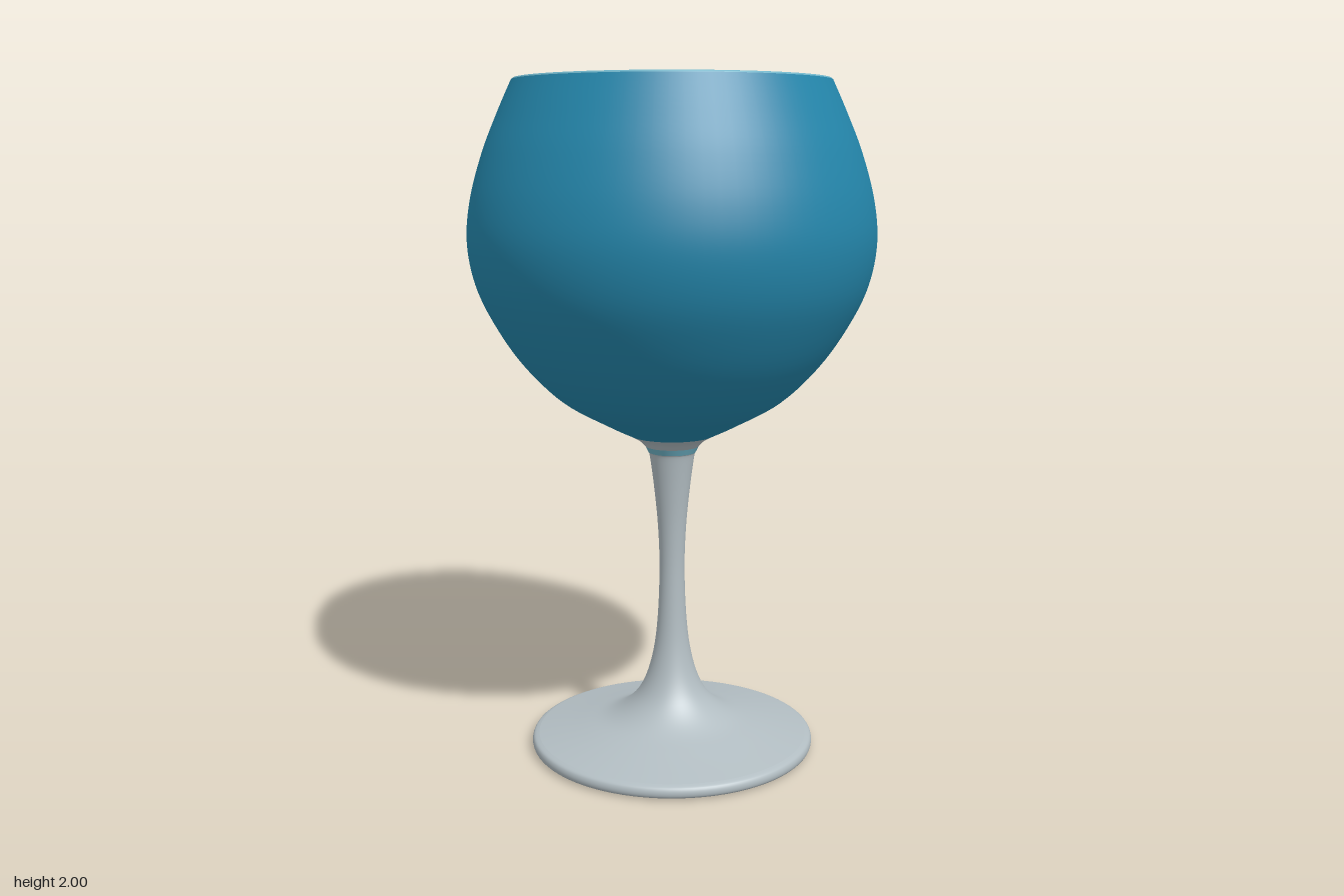
import * as THREE from 'three';

const paint = (name, color) => Object.assign(new THREE.MeshStandardMaterial({ color }), { name });
const v2 = (p) => new THREE.Vector2(p[0], p[1]);

// Smooth profile through a few (radius, height) points
const smooth = (pts, n = 40) => new THREE.SplineCurve(pts.map(v2)).getPoints(n);

export function createModel() {
  const group = new THREE.Group();
  const blue = paint('drink blue', 0x2486ab);
  const paleBlue = paint('pale blue', 0x6eb2c6);
  const grey = paint('clear glass grey', 0xb2bdc2);
  const yellow = paint('amber yellow', 0xc0ae36);

  const add = (name, geometry, material) => {
    const mesh = new THREE.Mesh(geometry, material);
    mesh.name = name;
    group.add(mesh);
    return mesh;
  };
  const turn = (name, pts, material) => add(name, new THREE.LatheGeometry(pts, 80), material);

  // Foot: slightly hollow underside, rounded edge
  turn('footUnderside', [[0, 0.012], [0.3, 0.008], [0.4, 0]].map(v2), grey);
  turn('footEdge', smooth([[0.4, 0], [0.424, 0.006], [0.43, 0.02], [0.425, 0.035], [0.41, 0.042]], 16), grey);
  // Foot top sweeping up into the stem
  turn('stem', smooth([[0.41, 0.042], [0.28, 0.07], [0.19, 0.095], [0.125, 0.14], [0.085, 0.2],
    [0.058, 0.29], [0.044, 0.4], [0.038, 0.55], [0.042, 0.68], [0.053, 0.8], [0.066, 0.9], [0.071, 0.916]], 60), grey);
  turn('stemBand', [[0.071, 0.916], [0.08, 0.934]].map(v2), paleBlue);
  turn('stemCollar', smooth([[0.08, 0.934], [0.098, 0.952], [0.125, 0.968]], 8), grey);

  // Bowl, rim and inner wall
  turn('bowl', smooth([[0.125, 0.968], [0.2, 1.005], [0.33, 1.08], [0.44, 1.19], [0.52, 1.31], [0.57, 1.42],
    [0.591, 1.54], [0.58, 1.66], [0.544, 1.79], [0.5, 1.9], [0.457, 1.995]], 60), blue);
  turn('rim', smooth([[0.457, 1.993], [0.453, 1.999], [0.446, 2], [0.439, 1.998], [0.435, 1.99]], 10), paleBlue);
  turn('innerWall', smooth([[0.435, 1.99], [0.478, 1.9], [0.515, 1.81]], 12), grey);
  turn('wetInnerWall', smooth([[0.515, 1.81], [0.527, 1.78], [0.536, 1.75]], 6), blue);

  // Drink surface
  const drink = add('drink', new THREE.CircleGeometry(0.537, 80), blue);
  drink.rotation.x = -Math.PI / 2;
  drink.position.y = 1.755;

  // Ice: rounded outline lofted to a narrower top, with an amber band at the drink line
  const profile = [[1, -0.06], [1, 0.01], [0.99, 0.035], [0.95, 0.06], [0.9, 0.085], [0.78, 0.13], [0.73, 0.146],
    [0.67, 0.155], [0.55, 0.16], [0.3, 0.165], [0, 0.167]];
  const yellowRows = 4;
  const steps = 64;
  const ice = (corners, [cx, cz], [slopeX, slopeZ]) => {
    const pts = corners.map(v2);
    const n = pts.length;
    const shape = new THREE.Shape();
    pts.forEach((p, i) => {
      const a = p.clone().lerp(pts[(i + n - 1) % n], 0.25);
      const b = p.clone().lerp(pts[(i + 1) % n], 0.25);
      if (i === 0) shape.moveTo(a.x, a.y);
      else shape.lineTo(a.x, a.y);
      shape.quadraticCurveTo(p.x, p.y, b.x, b.y);
    });
    shape.closePath();
    const outline = shape.getSpacedPoints(steps);
    const geo = new THREE.LatheGeometry(profile.map(v2), steps);
    const pos = geo.attributes.position;
    const rows = profile.length;
    for (let i = 0; i <= steps; i++) {
      const p = outline[i % steps];
      for (let j = 0; j < rows; j++) {
        const [r, h] = profile[j];
        const dx = (p.x - cx) * r, dz = (p.y - cz) * r;
        const tilt = h > 0 ? Math.min(1, h / 0.1) * (dx * slopeX + dz * slopeZ) : 0;
        pos.setXYZ(i * rows + j, cx + dx, 1.76 + h + tilt, cz + dz);
      }
    }
    geo.computeVertexNormals();
    // Average the normals across the seam
    const nor = geo.attributes.normal;
    const a = new THREE.Vector3(), b = new THREE.Vector3();
    for (let j = 0; j < rows; j++) {
      const k = steps * rows + j;
      a.fromBufferAttribute(nor, j).add(b.fromBufferAttribute(nor, k)).normalize();
      nor.setXYZ(j, a.x, a.y, a.z);
      nor.setXYZ(k, a.x, a.y, a.z);
    }
    geo.clearGroups();
    for (let i = 0; i < steps; i++) {
      const start = i * (rows - 1) * 6;
      geo.addGroup(start, yellowRows * 6, 0);
      geo.addGroup(start + yellowRows * 6, (rows - 1 - yellowRows) * 6, 1);
    }
    add('iceCube', geo, [yellow, grey]);
  };

  ice([[-0.36, -0.32], [-0.18, -0.13], [0.09, -0.1], [0.16, -0.46], [-0.14, -0.49]], [-0.08, -0.33], [0.08, 0.08]);
  ice([[-0.45, 0.2], [-0.29, 0.25], [-0.03, 0.13], [-0.27, -0.26], [-0.46, -0.16]], [-0.29, 0.01], [0.08, 0]);
  ice([[0.09, -0.2], [0.25, 0.1], [0.47, -0.02], [0.45, -0.25], [0.24, -0.41], [0.13, -0.34]], [0.3, -0.18], [-0.08, 0.04]);
  ice([[0.15, 0.22], [0.29, 0.36], [0.43, 0.25], [0.46, 0], [0.33, -0.03]], [0.34, 0.16], [-0.08, -0.06]);
  ice([[-0.03, 0.11], [-0.17, 0.39], [-0.06, 0.49], [0.24, 0.44], [0.32, 0.31]], [0.07, 0.33], [0, -0.1]);

  return group;
}
